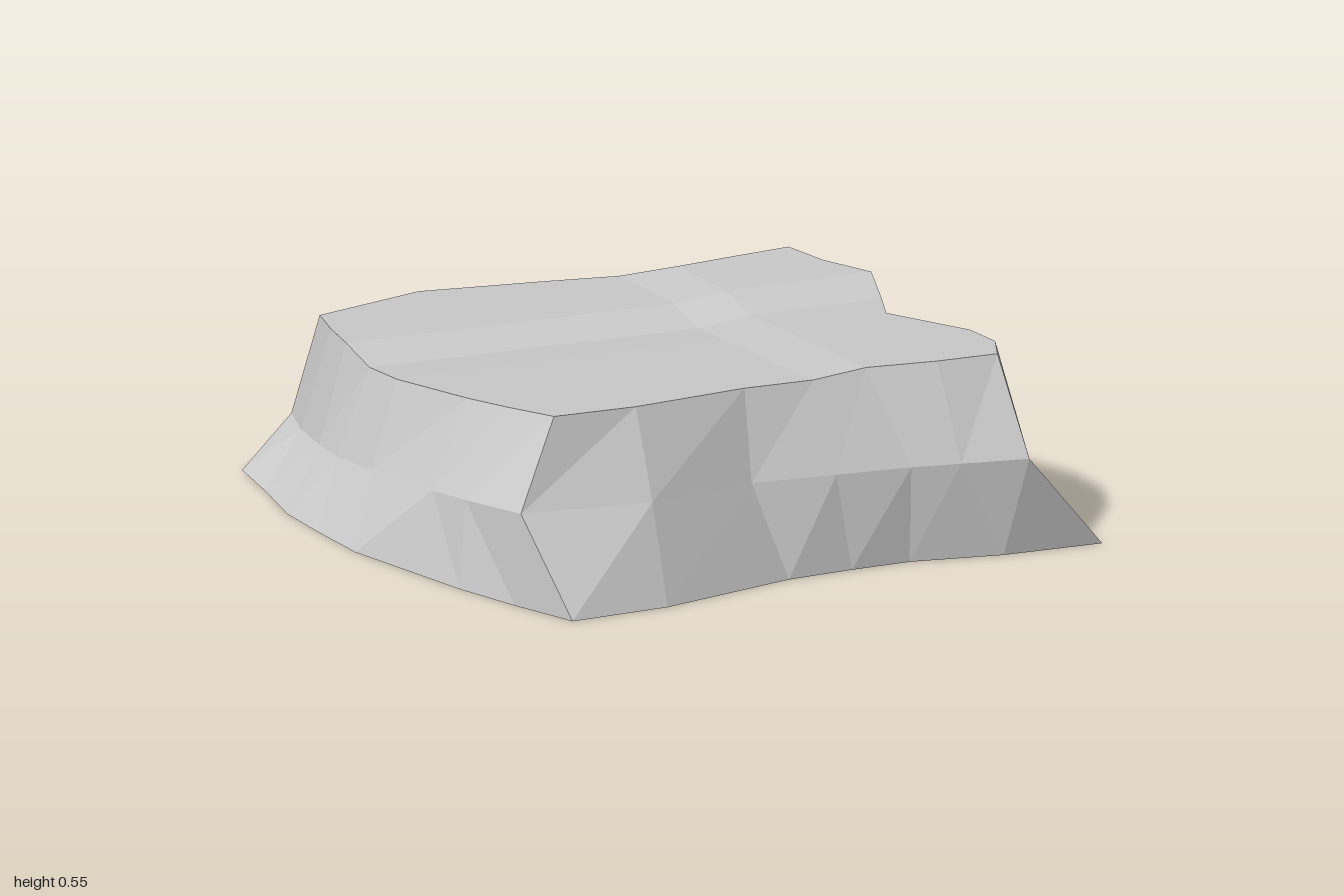
import * as THREE from 'three';

// Outlines as x, z pairs: front (left to right), right, back, left.
const TOP = [
  -0.62, 0.71, -0.37, 0.71, -0.01, 0.64, 0.2, 0.64, 0.36, 0.64, 0.56, 0.68, 0.74, 0.69,
  0.8, 0.53, 0.8, 0.35, 0.69, 0, 0.76, -0.2, 0.8, -0.37, 0.74, -0.58, 0.72, -0.78,
  0.56, -0.76, 0.36, -0.73, 0.2, -0.77, 0, -0.81, -0.37, -0.87, -0.73, -0.73,
  -0.77, -0.55, -0.8, -0.37, -0.8, -0.2, -0.8, 0, -0.73, 0.35, -0.68, 0.53,
];
const MIDDLE = [
  -0.75, 0.78, -0.37, 0.83, -0.03, 0.74, 0.22, 0.76, 0.44, 0.78, 0.58, 0.81, 0.77, 0.85,
  0.81, 0.65, 0.83, 0.4, 0.73, -0.05, 0.79, -0.23, 0.86, -0.45, 0.87, -0.62, 0.85, -0.8,
  0.65, -0.78, 0.44, -0.77, 0.2, -0.84, -0.02, -0.9, -0.37, -0.965, -0.77, -0.84,
  -0.83, -0.63, -0.87, -0.4, -0.89, -0.22, -0.88, 0, -0.84, 0.35, -0.81, 0.52,
];
const BASE = [
  -0.67, 0.965, -0.37, 0.94, 0.05, 0.82, 0.25, 0.8, 0.43, 0.79, 0.7, 0.83, 1, 0.83,
  0.98, 0.62, 0.96, 0.4, 0.79, 0, 0.83, -0.17, 0.88, -0.34, 0.86, -0.63, 0.79, -0.965,
  0.58, -0.92, 0.36, -0.87, 0.16, -0.9, -0.05, -0.925, -0.53, -0.96, -0.95, -0.77,
  -0.97, -0.55, -1, -0.32, -0.99, -0.13, -0.97, 0.1, -0.84, 0.55, -0.76, 0.76,
];
const COLS = 6, ROWS = 7;

// Piecewise linear interpolation through [position, value] knots
function ramp(knots, p) {
  for (let i = 1; i < knots.length; i++) {
    const [a, va] = knots[i - 1], [b, vb] = knots[i];
    if (p <= b || i === knots.length - 1) {
      return THREE.MathUtils.lerp(va, vb, THREE.MathUtils.clamp((p - a) / (b - a), 0, 1));
    }
  }
}

// Ground heights: ridge and step across the top, gently sloping ledge, flat base
const topHeight = (x, z) =>
  ramp([[-0.87, 0.43], [-0.37, 0.465], [-0.2, 0.44], [0, 0.46], [0.71, 0.525]], z) +
  ramp([[0.2, 0], [0.36, 0.018], [0.8, 0.025]], x);
const middleHeight = (x, z) => 0.203 + 0.09 * z;
const baseHeight = () => 0;

function makeRing(outline, height) {
  const ring = [];
  for (let i = 0; i < outline.length; i += 2) {
    const x = outline[i], z = outline[i + 1];
    ring.push(new THREE.Vector3(x, height(x, z), z));
  }
  return ring;
}

function facetedMesh(name, points, index) {
  const indexed = new THREE.BufferGeometry().setFromPoints(points);
  indexed.setIndex(index);
  const geometry = indexed.toNonIndexed();
  geometry.computeVertexNormals();
  const mesh = new THREE.Mesh(
    geometry, new THREE.MeshStandardMaterial({ color: 0xcccccc, flatShading: true }));
  mesh.name = name;
  return mesh;
}

// Fill a ring with a grid whose rows and columns join opposite sides
function makeCap(name, ring, height, faceUp) {
  const front = ring.slice(0, COLS + 1);
  const right = ring.slice(COLS, COLS + ROWS + 1);
  const back = ring.slice(COLS + ROWS, 2 * COLS + ROWS + 1).reverse();
  const left = [...ring.slice(2 * COLS + ROWS), ring[0]].reverse();
  const points = [], index = [];
  for (let r = 0; r <= ROWS; r++) {
    for (let c = 0; c <= COLS; c++) {
      if (r === 0) points.push(front[c]);
      else if (r === ROWS) points.push(back[c]);
      else if (c === 0) points.push(left[r]);
      else if (c === COLS) points.push(right[r]);
      else {
        const x = THREE.MathUtils.lerp(front[c].x, back[c].x, r / ROWS);
        const z = THREE.MathUtils.lerp(left[r].z, right[r].z, c / COLS);
        points.push(new THREE.Vector3(x, height(x, z), z));
      }
    }
  }
  for (let r = 0; r < ROWS; r++) {
    for (let c = 0; c < COLS; c++) {
      const a = r * (COLS + 1) + c, b = a + 1, d = a + COLS + 1, e = d + 1;
      if (faceUp) index.push(a, b, e, a, e, d);
      else index.push(a, e, b, a, d, e);
    }
  }
  return facetedMesh(name, points, index);
}

// Band of faces between two rings
function makeBand(name, lower, upper) {
  const n = lower.length, index = [];
  for (let i = 0; i < n; i++) {
    const j = (i + 1) % n;
    index.push(i, j, n + j, i, n + j, n + i);
  }
  return facetedMesh(name, [...lower, ...upper], index);
}

export function createModel() {
  const model = new THREE.Group();
  model.name = 'rockPlateau';
  const top = makeRing(TOP, topHeight);
  const middle = makeRing(MIDDLE, middleHeight);
  const base = makeRing(BASE, baseHeight);

  model.add(
    makeCap('plateauTop', top, topHeight, true),
    makeBand('upperCliff', middle, top),
    makeBand('lowerSlope', base, middle),
    makeCap('underside', base, baseHeight, false),
  );
  return model;
}
